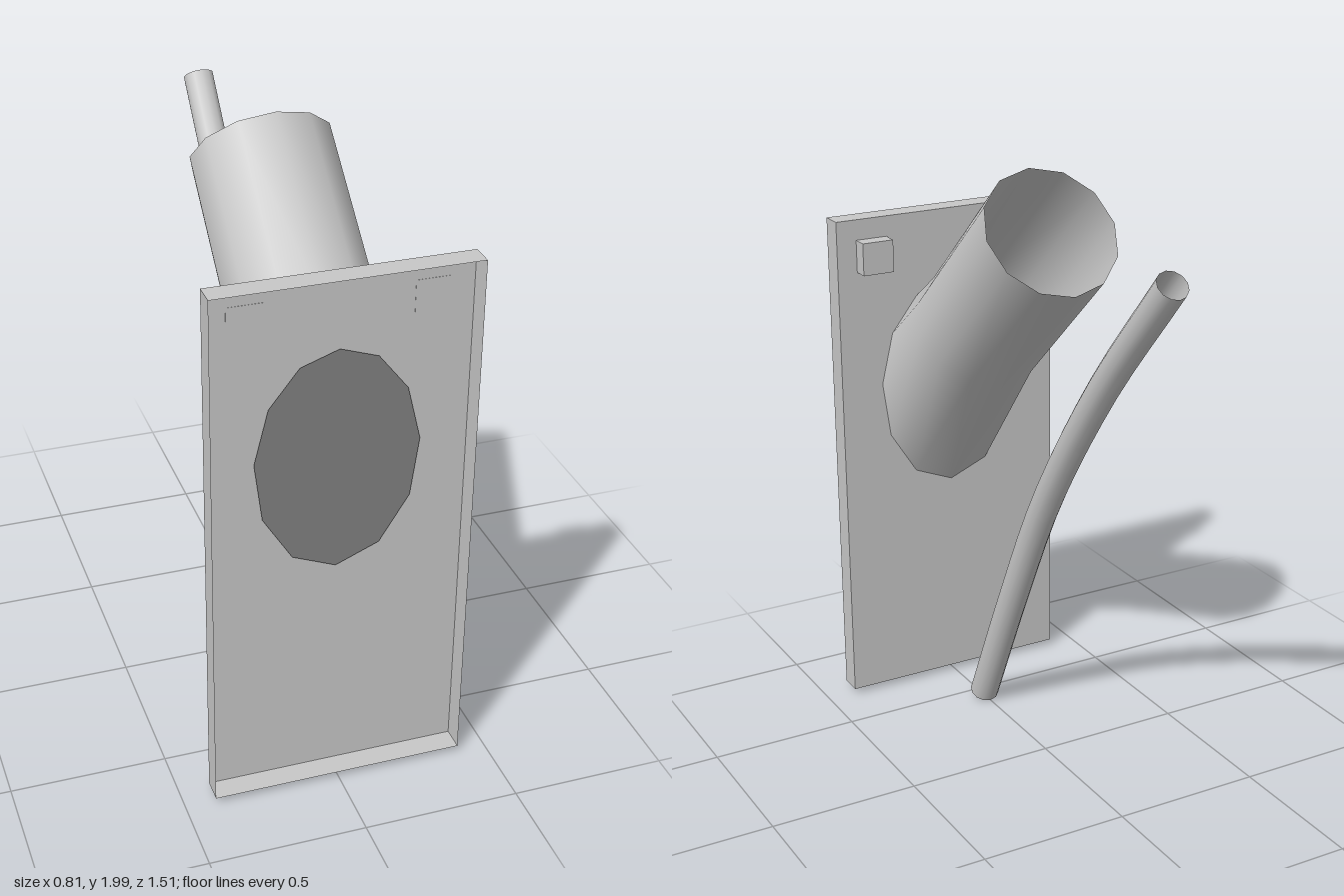
import * as THREE from 'three';

const SIDES = 12;

// One ring of the chute: centre (y, z), half-width, and the vector from centre to its top point.
function ring(cy, cz, half, upY, upZ, bulge = 0, taper = 0) {
  return Array.from({ length: SIDES }, (_, i) => {
    const a = (i / SIDES) * Math.PI * 2;
    const c = Math.cos(a), s = Math.sin(a);
    return new THREE.Vector3(half * s * (1 - taper * c), cy + upY * c + bulge * s * s, cz + upZ * c);
  });
}

// Smooth open skin through a list of rings.
function loft(rings) {
  const index = [];
  for (let r = 0; r < rings.length - 1; r++) {
    for (let i = 0; i < SIDES; i++) {
      const j = (i + 1) % SIDES;
      const a = r * SIDES + i, b = r * SIDES + j, c = a + SIDES, d = b + SIDES;
      index.push(a, c, b, b, c, d);
    }
  }
  const g = new THREE.BufferGeometry().setFromPoints(rings.flat());
  g.setIndex(index);
  g.computeVertexNormals();
  return g;
}

export function createModel() {
  const model = new THREE.Group();
  model.name = 'chuteModel';
  const grey = new THREE.MeshStandardMaterial({ color: 0xc8c8c8, side: THREE.DoubleSide });
  grey.name = 'light grey';

  const add = (name, geometry, x = 0, y = 0, z = 0) => {
    const mesh = new THREE.Mesh(geometry, grey);
    mesh.name = name;
    mesh.position.set(x, y, z);
    model.add(mesh);
    return mesh;
  };

  // Shallow tray, open at the front
  const tray = new THREE.BoxGeometry(0.81, 1.725, 0.076);
  const faces = Array.from(tray.index.array);
  faces.splice(24, 6);
  tray.setIndex(faces);
  tray.clearGroups();
  add('panelTray', tray, 0, 0.89, 0.717);

  // Two small blocks on the back of the tray
  for (const side of [-1, 1]) {
    add(side > 0 ? 'leftBlock' : 'rightBlock', new THREE.BoxGeometry(0.11, 0.11, 0.054), side * 0.28, 1.628, 0.653);
  }

  // Bent chute, open at its upper end
  const mouth = ring(1.137, 0.679, 0.256, 0.367, 0, 0.03, 0.08);
  add('chute', loft([
    mouth,
    ring(1.41, 0.425, 0.23, 0.17, 0.145),
    ring(1.83, -0.04, 0.225, 0.17, 0.145),
  ]));

  // Flat mouth plate, shaded along the chute axis
  const plate = new THREE.ShapeGeometry(new THREE.Shape(mouth.map((p) => new THREE.Vector2(p.x, p.y))));
  const normals = plate.attributes.normal;
  for (let i = 0; i < normals.count; i++) normals.setXYZ(i, 0, -0.65, 0.76);
  add('chuteMouth', plate, 0, 0, 0.683);

  // Curved pole behind the chute
  const path = new THREE.CatmullRomCurve3(
    [[0.028, 0.445], [0.49, 0.222], [0.93, -0.01], [1.4, -0.34], [1.83, -0.715]]
      .map(([y, z]) => new THREE.Vector3(0, y, z)));
  add('curvedPole', new THREE.TubeGeometry(path, 16, 0.05, 12, false));

  return model;
}
